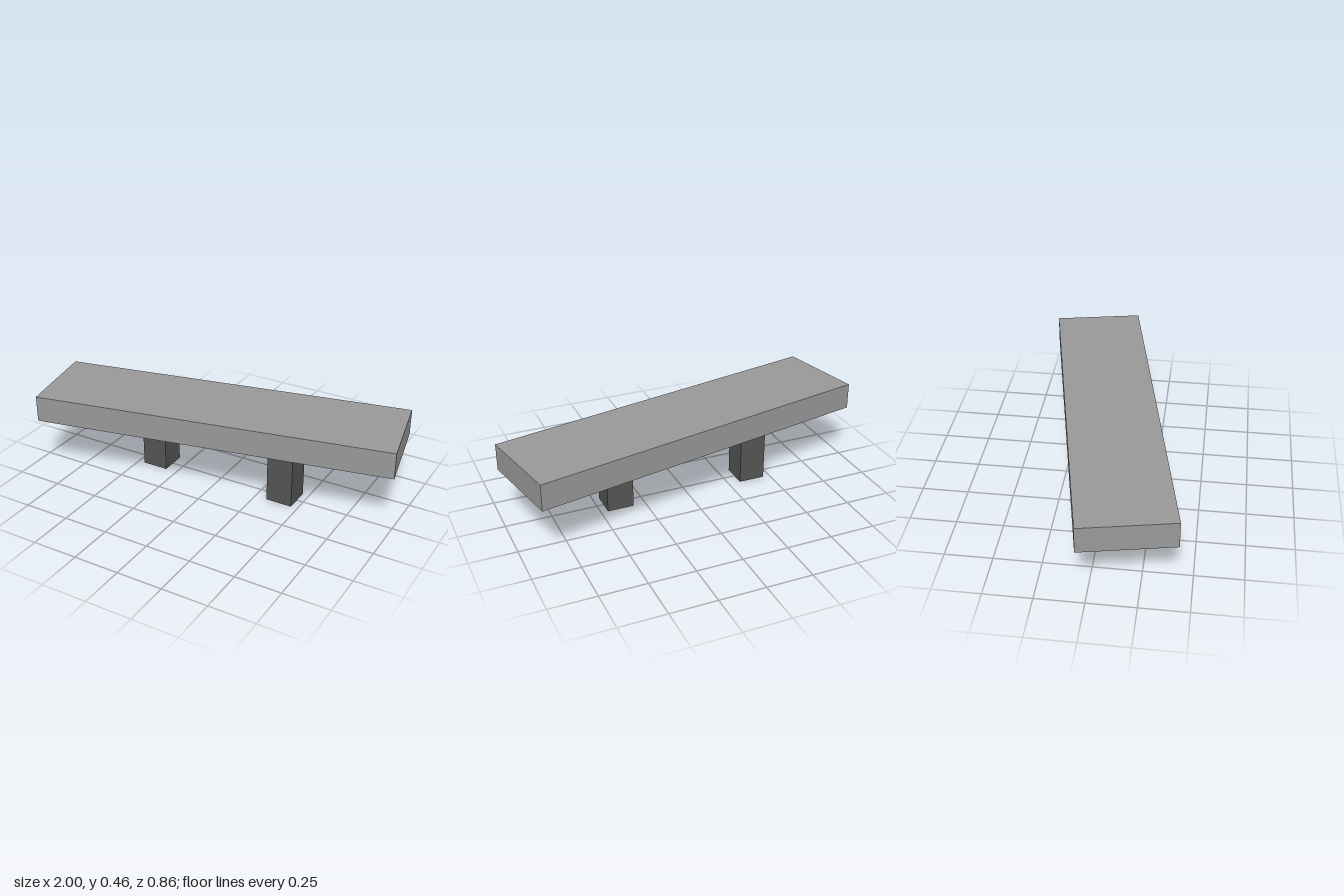
import * as THREE from 'three';

export function createModel() {
  const model = new THREE.Group();
  model.name = 'bench';

  const paleStone = new THREE.MeshStandardMaterial({ color: 0x999999 });
  paleStone.name = 'pale stone';
  const darkStone = new THREE.MeshStandardMaterial({ color: 0x555555 });
  darkStone.name = 'dark stone';

  const legHeight = 0.317;
  const legWidth = 0.145;
  const slabHeight = 0.144;

  // Seat slab, turned slightly on its legs
  const seat = new THREE.Mesh(new THREE.BoxGeometry(1.943, slabHeight, 0.484), paleStone);
  seat.name = 'seat';
  seat.position.y = legHeight + slabHeight / 2;
  seat.rotation.y = 0.2;
  model.add(seat);

  // Two square legs, kept straight
  const legGeometry = new THREE.BoxGeometry(legWidth, legHeight, legWidth);
  for (const side of [-1, 1]) {
    const leg = new THREE.Mesh(legGeometry, darkStone);
    leg.name = side > 0 ? 'leftLeg' : 'rightLeg';
    leg.position.set(side * 0.39, legHeight / 2, 0);
    model.add(leg);
  }

  return model;
}
